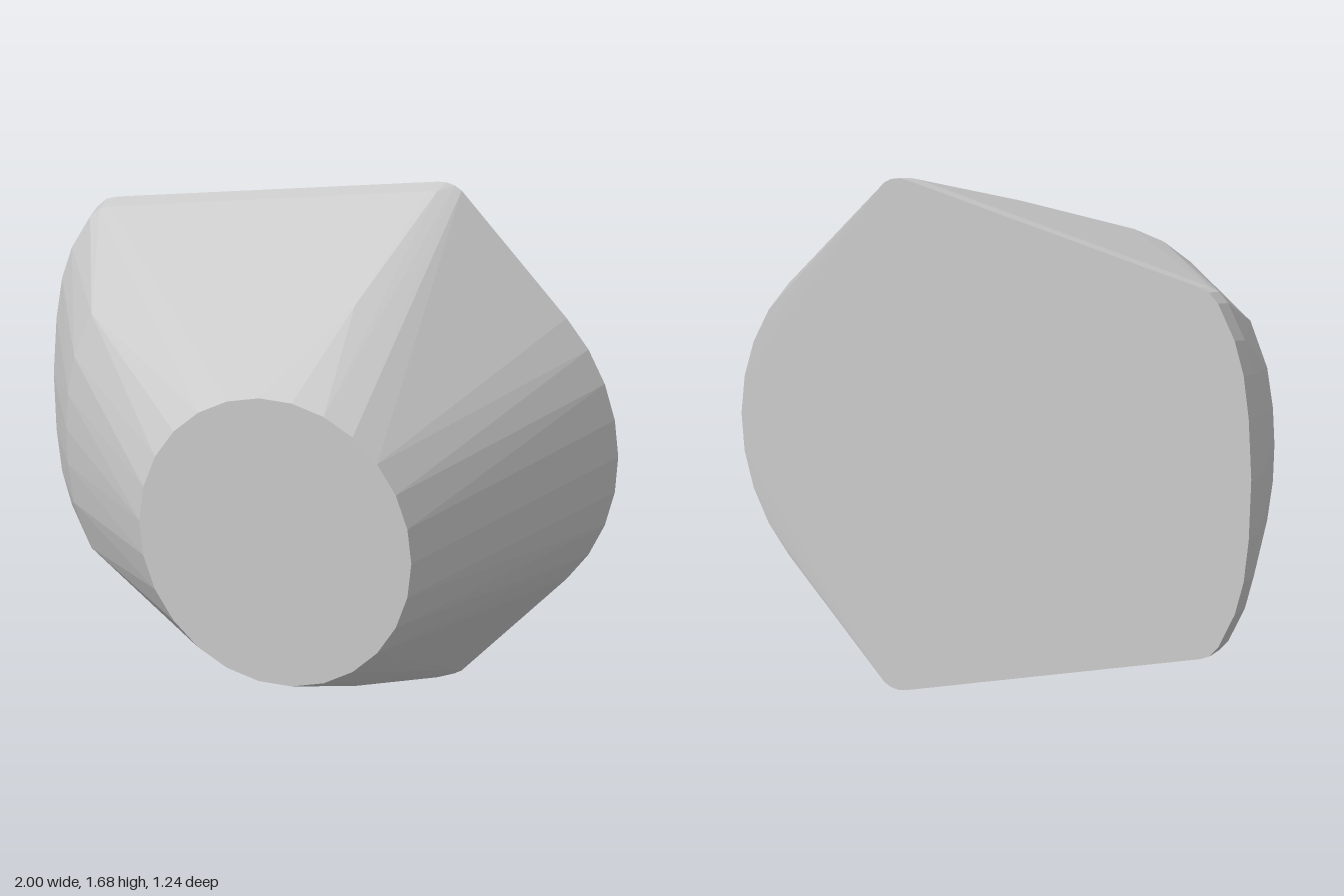
import * as THREE from 'three';
import { ConvexGeometry } from 'three/addons/geometries/ConvexGeometry.js';

const CY = 0.84; // height of the horizontal axis of symmetry

export function createModel() {
  const group = new THREE.Group();
  const points = [];
  const add = (x, y, z) => points.push(new THREE.Vector3(x, y, z));
  // adds a point and its mirror image about the axis height
  const pair = (x, dy, z) => {
    add(x, CY + dy, z);
    if (dy > 0) add(x, CY - dy, z);
  };

  // round front face
  const sides = 26;
  for (let i = 0; i < sides; i++) {
    const a = (i / sides) * Math.PI * 2;
    add(0.365 + 0.487 * Math.cos(a), CY + 0.487 * Math.sin(a), 0.617);
  }

  // rounded left side of the back face
  for (let i = 0; i <= 4; i++) {
    const a = (i / 4) * Math.PI * 0.25;
    pair(0.37 + 0.63 * Math.cos(a), 0.63 * Math.sin(a), -0.61);
  }

  // back rim: curved right side and softened upper and lower corners
  const rim = [
    [-1, 0], [-0.99, 0.2], [-0.97, 0.34], [-0.935, 0.45], [-0.87, 0.565],
    [-0.835, 0.598], [-0.8, 0.61], [0.35, 0.838], [0.38, 0.84], [0.41, 0.834], [0.435, 0.82],
  ];
  for (const [x, dy] of rim) {
    pair(x, dy, -0.62);
    if (x < 0.4) pair(x + (x < 0 ? 0.008 : 0), Math.max(0, dy - 0.01), -0.55);
  }

  // curved shoulder on the right flank
  for (const [x, dy, z] of [[-0.72, 0, -0.08], [-0.714, 0.12, -0.08], [-0.695, 0.25, -0.085], [-0.64, 0.4, -0.1]]) pair(x, dy, z);

  // slight crest above and below, and the belly corner
  pair(0.4, 0.65, 0.1);
  add(-0.25, 0.18, -0.07);

  const body = new THREE.Mesh(
    new ConvexGeometry(points),
    new THREE.MeshStandardMaterial({ color: 0xcccccc, flatShading: true })
  );
  body.name = 'body';
  group.add(body);
  return group;
}
